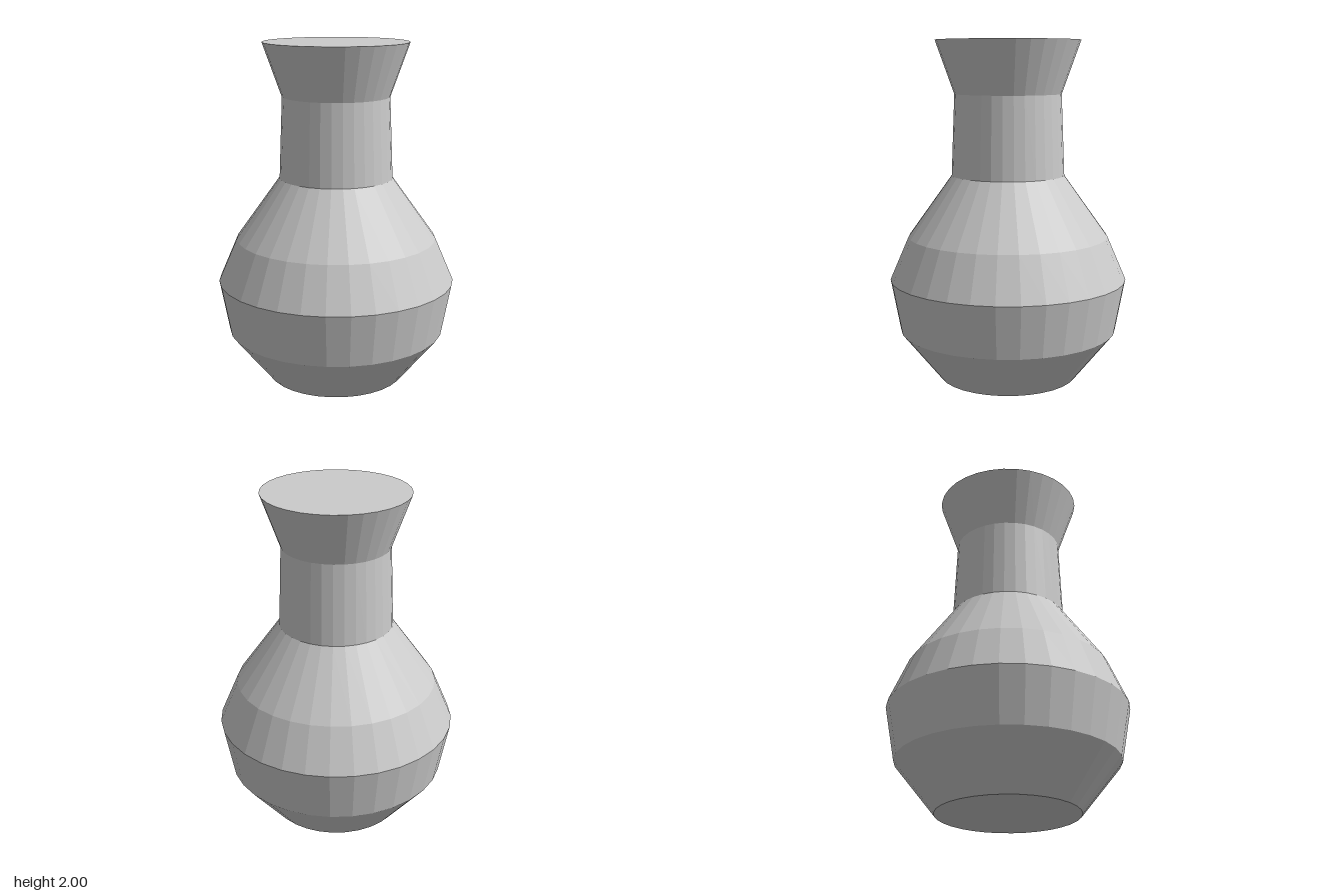
import * as THREE from 'three';

export function createModel() {
  const group = new THREE.Group();
  group.name = 'vase';
  const material = new THREE.MeshStandardMaterial({ color: 0xcccccc, flatShading: true });

  // Each part is a band of the turned profile, as [radius, height] from bottom to top
  const parts = {
    lowerBody: [[0, 0], [0.41, 0], [0.643, 0.29], [0.7, 0.6]],
    shoulder: [[0.7, 0.6], [0.59, 0.855], [0.332, 1.215]],
    neck: [[0.332, 1.215], [0.313, 1.69]],
    flaredRim: [[0.313, 1.69], [0.423, 2], [0, 2]],
  };

  for (const [name, profile] of Object.entries(parts)) {
    const points = profile.map(([r, y]) => new THREE.Vector2(r, y));
    const mesh = new THREE.Mesh(new THREE.LatheGeometry(points, 32), material);
    mesh.name = name;
    group.add(mesh);
  }
  return group;
}
